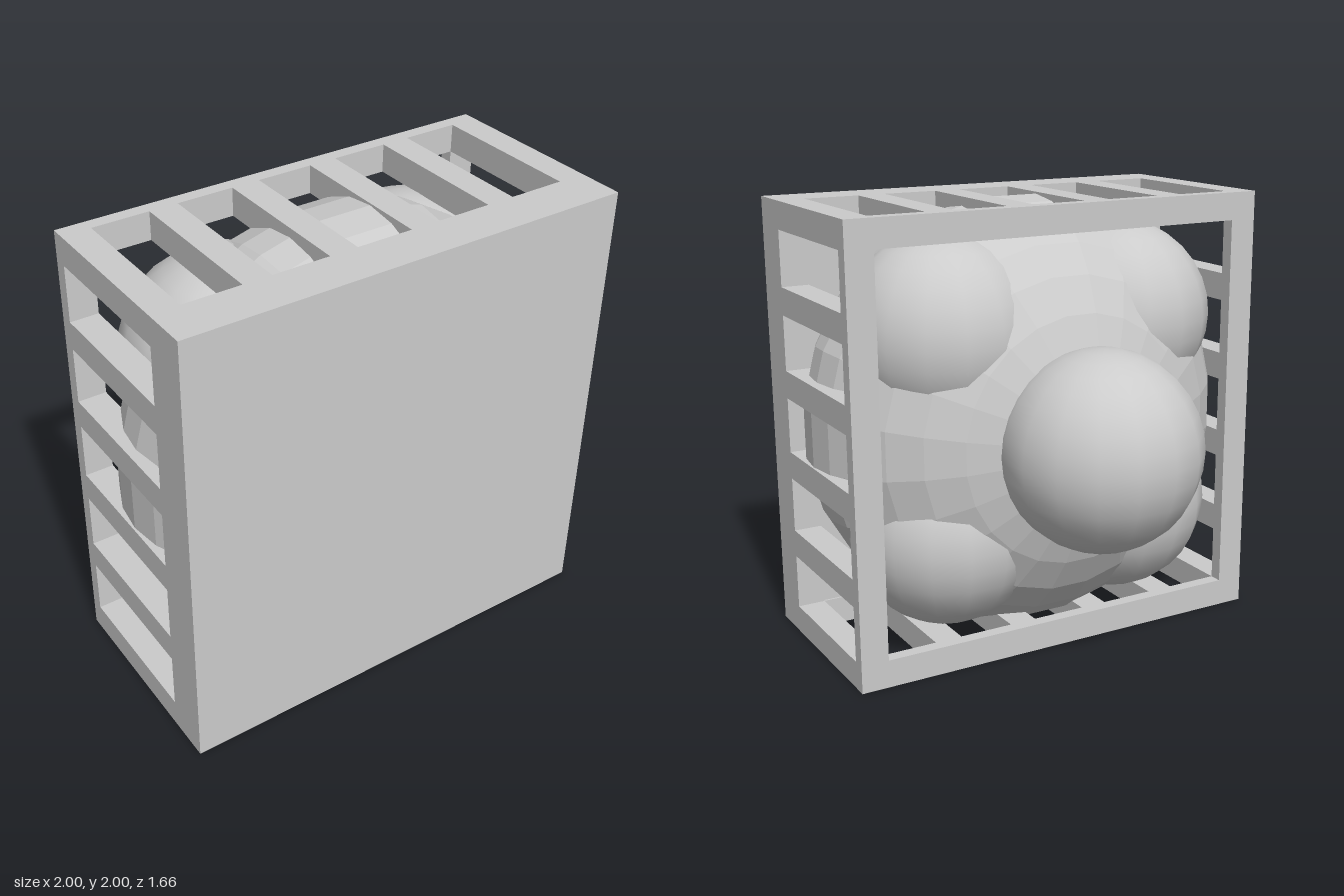
import * as THREE from 'three';

const BACK = -0.11, PLATE = 0.64, FRONT = 0.83, WALL = 0.125;

// Flat wall with five slots, lying in x-z with its outer face at y = 0
function slottedPanel() {
  const rect = (s, x0, z0, x1, z1) =>
    s.moveTo(x0, z0).lineTo(x1, z0).lineTo(x1, z1).lineTo(x0, z1).closePath();
  const shape = rect(new THREE.Shape(), -1, BACK, 1, PLATE);
  for (let i = -2; i <= 2; i++) {
    const x = i * 0.375;
    shape.holes.push(rect(new THREE.Path(), x - 0.125, -0.05, x + 0.125, 0.63));
  }
  return new THREE.ExtrudeGeometry(shape, { depth: WALL, bevelEnabled: false }).rotateX(Math.PI / 2);
}

// Faceted flattened dome around the z axis, from its back pole to just inside the front plate
function facetedCore(radius, halfDepth) {
  const profile = [];
  for (let i = 0; i <= 10; i++) {
    const a = -Math.PI / 2 + (i * Math.PI) / 16;
    profile.push(new THREE.Vector2(Math.max(0, radius * Math.cos(a)), halfDepth * Math.sin(a)));
  }
  return new THREE.LatheGeometry(profile, 24, Math.PI / 24).rotateX(Math.PI / 2);
}

export function createModel() {
  const model = new THREE.Group();
  const smooth = new THREE.MeshStandardMaterial({ color: 0xcccccc });
  const flat = new THREE.MeshStandardMaterial({ color: 0xcccccc, flatShading: true });

  const add = (name, geometry, material, x, y, z, parent = model) => {
    const mesh = new THREE.Mesh(geometry, material);
    mesh.name = name;
    mesh.position.set(x, y, z);
    parent.add(mesh);
  };

  // Solid front plate
  add('frontPlate', new THREE.BoxGeometry(2, 2, FRONT - PLATE), flat, 0, 1, (FRONT + PLATE) / 2);

  // Four slotted walls turned around the centre
  const panel = slottedPanel();
  ['topWall', 'rightWall', 'bottomWall', 'leftWall'].forEach((name, i) => {
    const pivot = new THREE.Group();
    pivot.name = name;
    pivot.position.y = 1;
    pivot.rotation.z = (i * Math.PI) / 2;
    add(name + 'Panel', panel, flat, 0, 1, 0, pivot);
    model.add(pivot);
  });

  // Faceted core filling the cage
  add('core', facetedCore(1, 0.72), flat, 0, 1, 0.365);

  // Smooth equal balls: one at the back, one in each corner
  const ball = new THREE.SphereGeometry(0.437, 16, 16, Math.PI / 16);
  add('backBall', ball, smooth, 0, 1, -0.4);
  for (const sx of [-1, 1])
    for (const sy of [-1, 1])
      add('cornerBall', ball, smooth, sx * 0.445, 1 + sy * 0.445, 0.2);

  return model;
}
